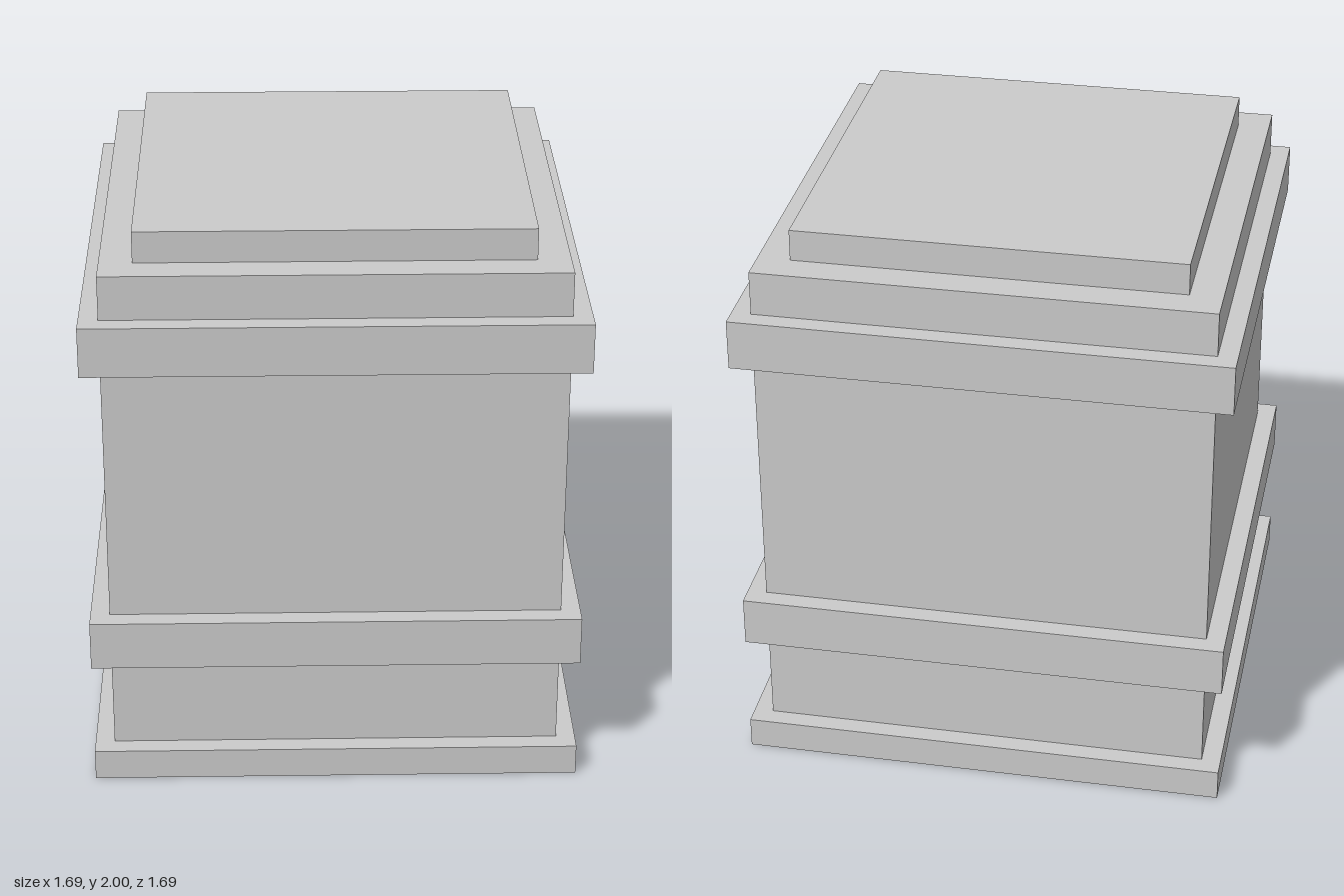
import * as THREE from 'three';

// Square slabs stacked on the vertical axis: name, width, bottom, top
const slabs = [
  ['base', 1.688, 0, 0.11],
  ['body', 1.555, 0.11, 1.89],
  ['lowerBand', 1.688, 0.45, 0.625],
  ['upperBand', 1.688, 1.56, 1.735],
  ['cap', 1.332, 1.89, 2],
];

export function createModel() {
  const group = new THREE.Group();
  group.name = 'pedestal';
  const material = new THREE.MeshStandardMaterial({ color: 0xcccccc });
  for (const [name, width, bottom, top] of slabs) {
    const slab = new THREE.Mesh(new THREE.BoxGeometry(width, top - bottom, width), material);
    slab.name = name;
    slab.position.y = (bottom + top) / 2;
    group.add(slab);
  }
  return group;
}
